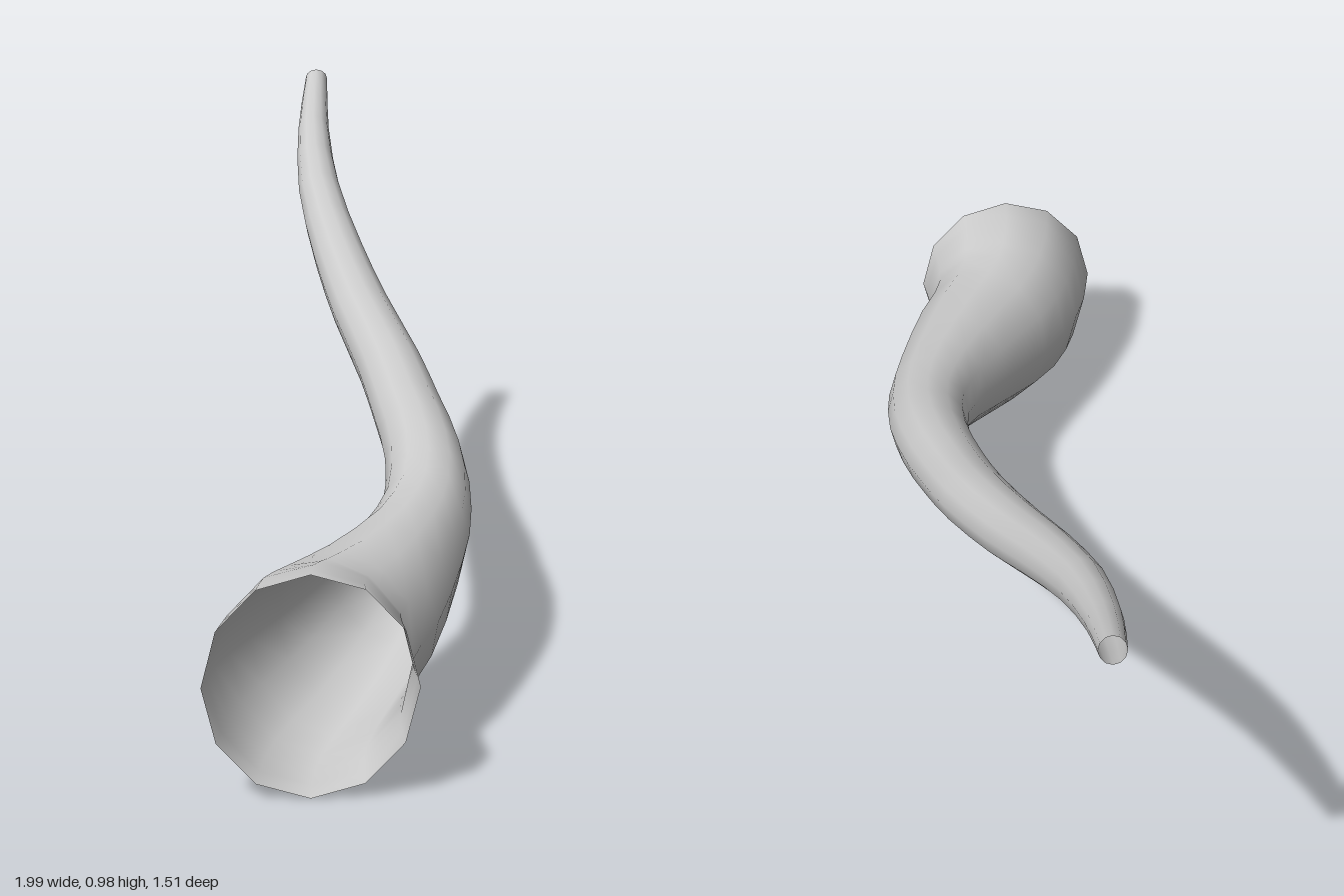
import * as THREE from 'three';

const SIDES = 12;
const STEPS = 2; // rings per station

// Stations from wide mouth to narrow tip: centre x, y, z, sideways radius, upright radius
const STATIONS = [
  [-0.88, 0.22, 0.59, 0.2, 0.215],
  [-0.8, 0.222, 0.54, 0.185, 0.203],
  [-0.7, 0.226, 0.505, 0.165, 0.183],
  [-0.54, 0.25, 0.48, 0.145, 0.154],
  [-0.325, 0.3, 0.43, 0.108, 0.117],
  [-0.17, 0.348, 0.365, 0.09, 0.09],
  [-0.025, 0.4, 0.26, 0.081, 0.081],
  [0.11, 0.452, 0.125, 0.075, 0.073],
  [0.22, 0.505, 0.005, 0.071, 0.068],
  [0.36, 0.583, -0.17, 0.065, 0.063],
  [0.48, 0.665, -0.315, 0.058, 0.058],
  [0.64, 0.77, -0.485, 0.048, 0.05],
  [0.82, 0.874, -0.632, 0.036, 0.036],
  [0.977, 0.963, -0.737, 0.026, 0.026],
];

// Open tube swept along the curved centre line, with tapering oval rings
function hornGeometry() {
  const curve = new THREE.CatmullRomCurve3(STATIONS.map(([x, y, z]) => new THREE.Vector3(x, y, z)));
  const mouthAxis = new THREE.Vector3(0.8, 0, -0.6);
  const up = new THREE.Vector3(0, 1, 0);
  const spans = STATIONS.length - 1;
  const rings = spans * STEPS;
  const positions = [];
  const index = [];

  for (let i = 0; i <= rings; i++) {
    const s = i / STEPS;
    const k = Math.min(Math.floor(s), spans - 1);
    const radius = (c) => THREE.MathUtils.lerp(STATIONS[k][c], STATIONS[k + 1][c], s - k);
    const centre = curve.getPoint(i / rings);
    // the mouth is cut at a slant, blending into the true direction of the curve
    const axis = curve.getTangent(i / rings).lerp(mouthAxis, Math.max(0, 1 - s / 2)).normalize();
    const side = up.clone().cross(axis).normalize();
    const top = axis.clone().cross(side);
    for (let j = 0; j < SIDES; j++) {
      const a = (j / SIDES) * Math.PI * 2;
      const p = centre.clone()
        .addScaledVector(side, Math.cos(a) * radius(3))
        .addScaledVector(top, Math.sin(a) * radius(4));
      positions.push(p.x, p.y, p.z);
      if (i < rings) {
        const p0 = i * SIDES + j;
        const p1 = i * SIDES + ((j + 1) % SIDES);
        index.push(p0, p1, p0 + SIDES, p1, p1 + SIDES, p0 + SIDES);
      }
    }
  }
  const geometry = new THREE.BufferGeometry();
  geometry.setAttribute('position', new THREE.Float32BufferAttribute(positions, 3));
  geometry.setIndex(index);
  geometry.computeVertexNormals();
  return geometry;
}

export function createModel() {
  const group = new THREE.Group();
  group.name = 'curvedHorn';
  const material = new THREE.MeshStandardMaterial({ color: 0xcccccc, side: THREE.DoubleSide });
  const horn = new THREE.Mesh(hornGeometry(), material);
  horn.name = 'hornShell';
  group.add(horn);
  return group;
}
